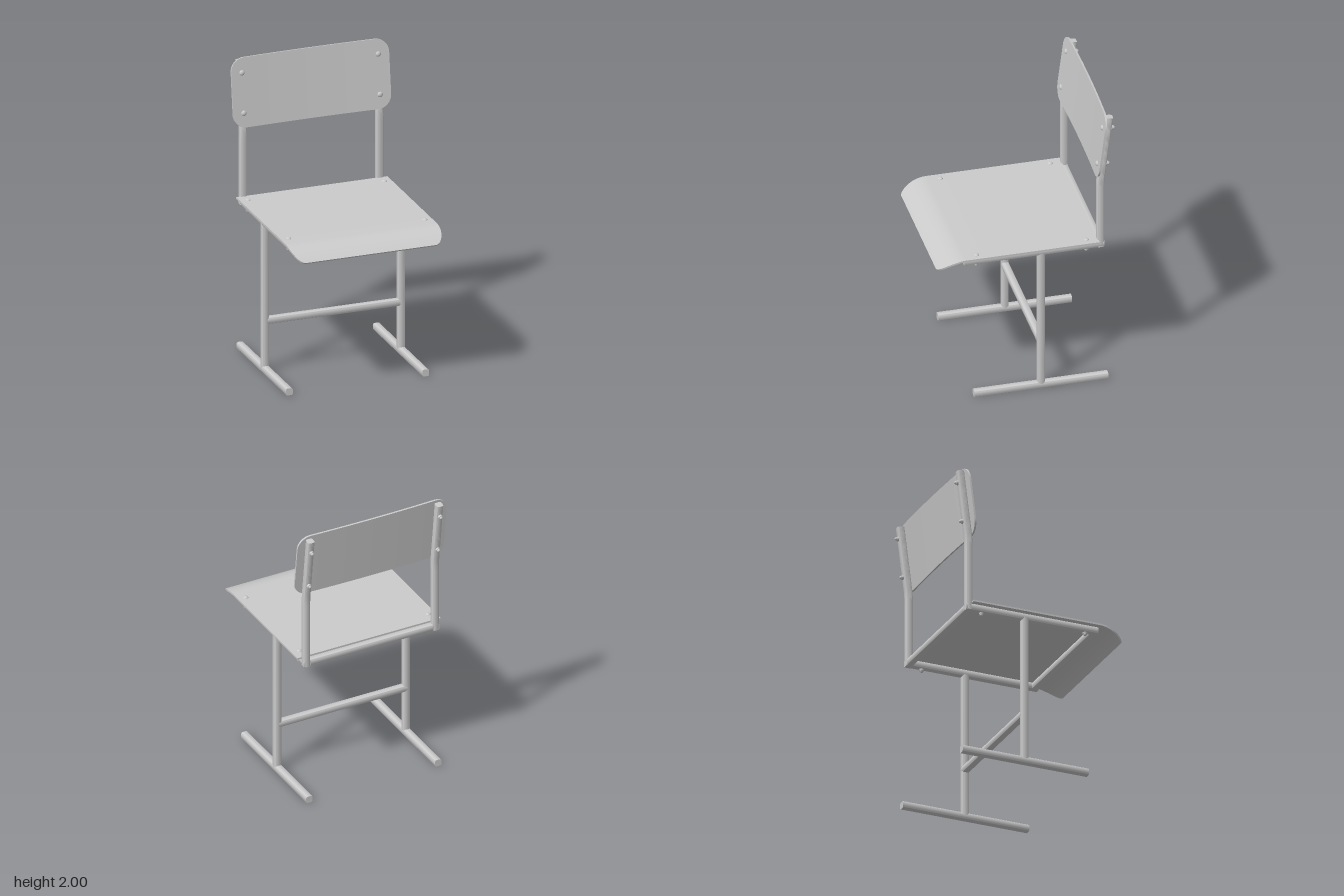
import * as THREE from 'three';
import { toCreasedNormals } from 'three/addons/utils/BufferGeometryUtils.js';

const T = 0.047;      // tube width
const X = 0.466;      // side frame position
const TILT = 0.127;   // backrest lean
const mat = new THREE.MeshStandardMaterial({ color: 0xcccccc });

function add(parent, name, geometry) {
  const mesh = new THREE.Mesh(geometry, mat);
  mesh.name = name;
  parent.add(mesh);
  return mesh;
}

// Square tube with rounded corners, running along +z from the origin
function tubeGeometry(length, steps = 1) {
  const h = T / 2, r = 0.012, s = new THREE.Shape();
  s.absarc(h - r, h - r, r, 0, Math.PI / 2);
  s.absarc(r - h, h - r, r, Math.PI / 2, Math.PI);
  s.absarc(r - h, r - h, r, Math.PI, Math.PI * 1.5);
  s.absarc(h - r, r - h, r, Math.PI * 1.5, Math.PI * 2);
  return new THREE.ExtrudeGeometry(s, { depth: length, steps, bevelEnabled: false, curveSegments: 5 });
}

function tube(parent, name, a, b) {
  const from = new THREE.Vector3(...a), to = new THREE.Vector3(...b);
  const mesh = add(parent, name, toCreasedNormals(tubeGeometry(from.distanceTo(to)), 0.7));
  mesh.position.copy(from);
  mesh.lookAt(to);
}

// Move every vertex of a geometry by a rule
function reshape(geometry, rule) {
  const p = geometry.attributes.position, v = new THREE.Vector3();
  for (let i = 0; i < p.count; i++) {
    rule(v.fromBufferAttribute(p, i));
    p.setXYZ(i, v.x, v.y, v.z);
  }
  return toCreasedNormals(geometry, 0.7);
}

// Upright that leans back above the bend
function backPostGeometry() {
  const g = tubeGeometry(0.966, 40).rotateX(-Math.PI / 2);
  return reshape(g, (v) => {
    const y = v.y + 1.01, k = THREE.MathUtils.smoothstep(y, 1.47, 1.55);
    const rise = y < 1.47 ? 0 : y < 1.55 ? (y - 1.47) ** 2 / 0.16 : y - 1.51;
    v.y = y + v.z * TILT * k;
    v.z += -0.4915 - TILT * rise;
  });
}

// Flat seat with a rolled-down front edge and rounded front corners
function seatGeometry() {
  return reshape(new THREE.BoxGeometry(1, 0.012, 1, 16, 1, 30), (v) => {
    const f = v.z + 0.5;
    const z = f < 0.2 ? -0.476 + f / 0.2 * 0.876
      : 0.4 + 0.183 * Math.sin((f - 0.2) / 0.8 * Math.PI / 2);
    const t = Math.max(0, (z - 0.4) / 0.183);
    const k = Math.min(1, Math.max(0, (z - 0.44) / 0.143));
    const slope = 0.148 * t / 0.183, n = Math.hypot(1, slope);
    v.x *= 2 * (0.517 - 0.072 * (1 - Math.sqrt(1 - k * k)));
    v.z = z + v.y * slope / n;
    v.y = 1.061 - 0.074 * t * t + v.y / n;
  });
}

// Slightly bowed, leaning panel with rounded corners
function backrestGeometry() {
  const r = 0.09, H = 0.46;
  const corner = (u) => r * (1 - Math.cos(Math.min(1, u / 0.4) * Math.PI / 2));
  return reshape(new THREE.BoxGeometry(1, 1, 0.012, 24, 20, 1), (v) => {
    const u = v.y + 0.5;
    const q = u <= 0.4 ? corner(u) : u >= 0.6 ? H - corner(1 - u)
      : r + (u - 0.4) / 0.2 * (H - 2 * r);
    const d = Math.max(0, r - Math.min(q, H - q));
    v.x *= 2 * (0.54 - r + Math.sqrt(Math.max(0, r * r - d * d)));
    v.y = 1.54 + q + v.z * TILT;
    v.z += -0.466 - TILT * q + 0.009 * ((v.x / X) ** 2 - 1);
  });
}

// Through bolt along y: domed head at the top, cap nut at the bottom
function bolt(parent, name, top, bottom) {
  const g = new THREE.Group();
  g.name = name;
  const head = add(g, 'boltHead', new THREE.SphereGeometry(0.018, 18, 8, 0, Math.PI * 2, 0, Math.PI / 2));
  head.scale.y = 0.6;
  head.position.y = top;
  add(g, 'nut', new THREE.CylinderGeometry(0.016, 0.014, 0.012, 16)).position.y = bottom - 0.006;
  add(g, 'nutCap', new THREE.SphereGeometry(0.011, 14, 10)).position.y = bottom - 0.013;
  parent.add(g);
  return g;
}

export function createModel() {
  const chair = new THREE.Group();
  chair.name = 'chair';

  // Side frames
  for (const [side, x] of [['left', X], ['right', -X]]) {
    const frame = new THREE.Group();
    frame.name = side + 'Frame';
    chair.add(frame);
    tube(frame, 'footRail', [x, T / 2, -0.54], [x, T / 2, 0.343]);
    tube(frame, 'leg', [x, 0.03, -0.1], [x, 1.03, -0.1]);
    tube(frame, 'seatRail', [x, 1.031, -0.514], [x, 1.031, 0.41]);
    add(frame, 'backPost', backPostGeometry()).position.x = x;

    // Bolts through seat and backrest
    for (const z of [-0.4, 0.325]) bolt(frame, 'seatBolt', 1.066, 1.008).position.set(x, 0, z);
    for (const y of [1.635, 1.9]) {
      const b = bolt(frame, 'backrestBolt', 0.006, -0.054);
      b.rotation.x = Math.PI / 2 - Math.atan(TILT);
      b.position.set(x, y, -0.466 - TILT * (y - 1.54));
    }
  }

  // Cross members
  tube(chair, 'legCrossbar', [-X, 0.353, -0.1], [X, 0.353, -0.1]);
  tube(chair, 'frontSeatBar', [-X, 1.031, 0.386], [X, 1.031, 0.386]);
  tube(chair, 'rearSeatBar', [-X, 1.031, -0.49], [X, 1.031, -0.49]);

  // Panels
  add(chair, 'seat', seatGeometry());
  add(chair, 'backrest', backrestGeometry());
  return chair;
}
